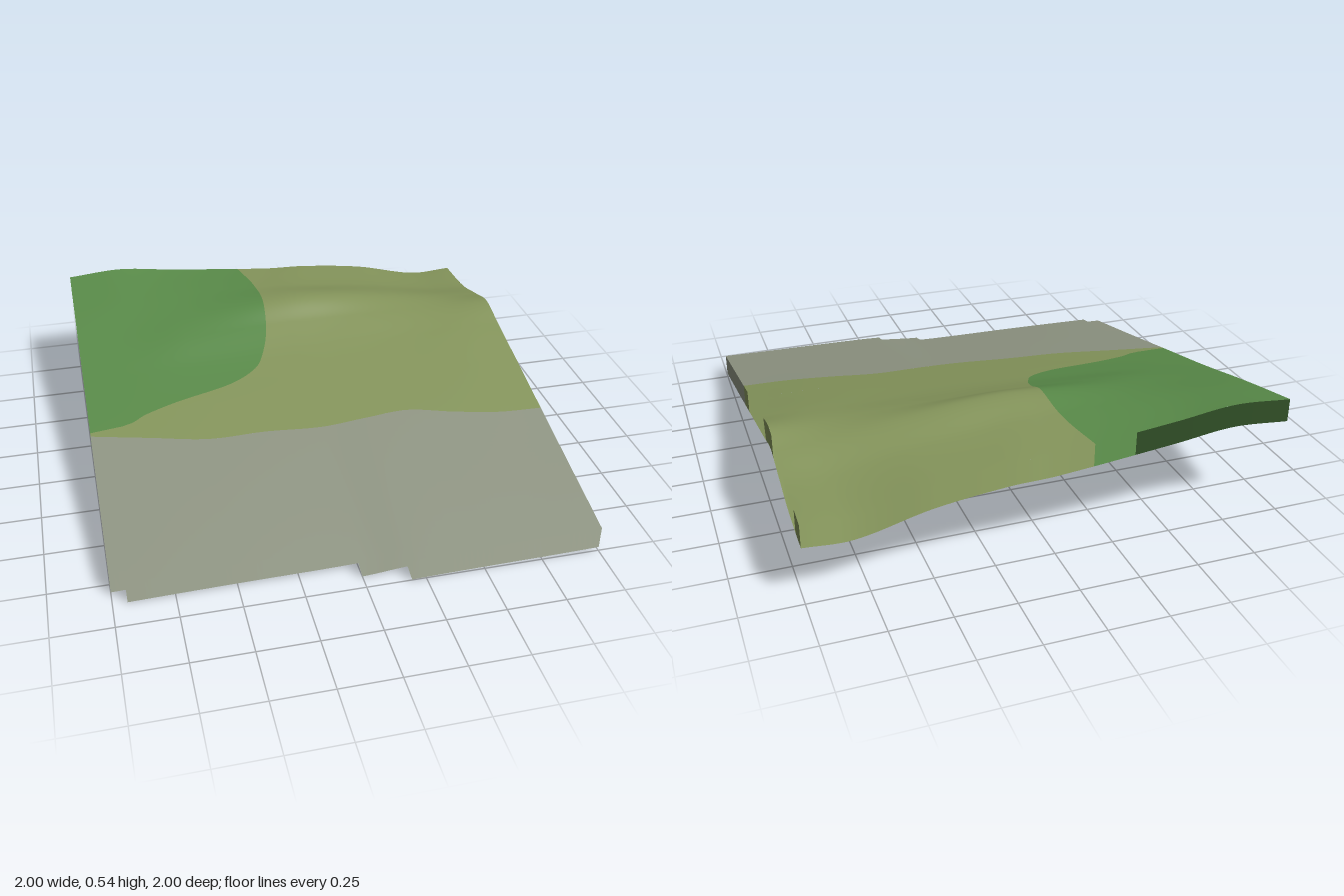
import * as THREE from 'three';

const SKIRT = 0.1;

// Smooth curve through points (xs ascending), returned as a value at x
function spline(xs, ys, x) {
  const n = xs.length;
  let i = 0;
  while (i < n - 2 && x > xs[i + 1]) i++;
  const slope = (k) => {
    const a = Math.max(k - 1, 0), b = Math.min(k + 1, n - 1);
    return (ys[b] - ys[a]) / (xs[b] - xs[a]);
  };
  const d = xs[i + 1] - xs[i], t = (x - xs[i]) / d, t2 = t * t, t3 = t2 * t;
  return ys[i] * (2 * t3 - 3 * t2 + 1) + ys[i + 1] * (3 * t2 - 2 * t3)
    + d * (slope(i) * (t3 - 2 * t2 + t) + slope(i + 1) * (t3 - t2));
}

// Hill heights: one profile from back to front for each x station
const STATION_X = [-1, -0.75, -0.5, 0, 0.2, 0.5, 0.8, 1];
const STATION_Z = [-1, -0.75, -0.56, -0.42, -0.25, 0, 0.5, 1];
const PROFILES = [
  [0.52, 0.465, 0.42, 0.385, 0.345, 0.29, 0.178, 0.07],
  [0.537, 0.485, 0.437, 0.402, 0.357, 0.298, 0.187, 0.075],
  [0.508, 0.49, 0.462, 0.428, 0.37, 0.308, 0.194, 0.079],
  [0.458, 0.483, 0.506, 0.45, 0.392, 0.33, 0.207, 0.085],
  [0.45, 0.465, 0.502, 0.45, 0.396, 0.335, 0.219, 0.102],
  [0.413, 0.432, 0.468, 0.446, 0.4, 0.342, 0.225, 0.109],
  [0.343, 0.378, 0.428, 0.438, 0.411, 0.352, 0.229, 0.113],
  [0.35, 0.368, 0.415, 0.447, 0.408, 0.35, 0.232, 0.117],
];
const height = (x, z) => spline(STATION_X, PROFILES.map((p) => spline(STATION_Z, p, z)), x);

function hillNormal(x, z) {
  const e = 0.004;
  return new THREE.Vector3(
    height(x - e, z) - height(x + e, z), 2 * e, height(x, z - e) - height(x, z + e)).normalize();
}

// Colour borders
const SEAM_Z = 0.06;
const pavingEdge = (x) => spline([-1, -0.75, -0.5, -0.25, 0, 0.2, 0.4, 0.6, 0.8, 1],
  [0.08, 0.14, 0.2, 0.21, 0.235, 0.225, 0.215, 0.265, 0.305, 0.315], x);
const meadowEdge = (z) => Math.max(-1, spline(
  [-1, -0.8, -0.6, -0.4, -0.25, -0.17, -0.1, -0.05, 0, 0.035, 0.05, SEAM_Z],
  [-0.15, -0.11, -0.1, -0.12, -0.17, -0.225, -0.36, -0.59, -0.75, -0.81, -0.87, -1], z));

// Front edge steps: x start, x end, z
const STEPS = [[-1, -0.94, 0.81], [-0.94, 0, 0.87], [0, 0.19, 0.935], [0.19, 1, 1]];

function makeGeometry(pos, nor, idx) {
  const g = new THREE.BufferGeometry();
  g.setAttribute('position', new THREE.Float32BufferAttribute(pos, 3));
  g.setAttribute('normal', new THREE.Float32BufferAttribute(nor, 3));
  g.setIndex(idx);
  return g;
}

// Ground patch; at(u, v) gives [x, z]
function sheet(at, nu, nv) {
  const pos = [], nor = [], idx = [];
  for (let j = 0; j <= nv; j++) {
    for (let i = 0; i <= nu; i++) {
      const [x, z] = at(i / nu, j / nv);
      pos.push(x, height(x, z), z);
      nor.push(...hillNormal(x, z).toArray());
      if (i < nu && j < nv) {
        const a = j * (nu + 1) + i, b = a + 1, c = a + nu + 1, d = c + 1;
        idx.push(a, c, b, b, c, d);
      }
    }
  }
  return makeGeometry(pos, nor, idx);
}

// Hanging border, walked counterclockwise as seen from above; it shades on from the ground
function skirt(x0, z0, x1, z1) {
  const pos = [], nor = [], idx = [];
  const n = Math.max(1, Math.ceil(Math.hypot(x1 - x0, z1 - z0) / 0.025));
  for (let i = 0; i <= n; i++) {
    const x = x0 + (x1 - x0) * i / n, z = z0 + (z1 - z0) * i / n, y = height(x, z);
    const normal = hillNormal(x, z).toArray();
    pos.push(x, y, z, x, y - SKIRT, z);
    nor.push(...normal, ...normal);
    if (i < n) idx.push(2 * i, 2 * i + 1, 2 * i + 3, 2 * i, 2 * i + 3, 2 * i + 2);
  }
  return makeGeometry(pos, nor, idx);
}

export function createModel() {
  const model = new THREE.Group();
  model.name = 'hillside';
  const material = (name, color) => {
    const m = new THREE.MeshStandardMaterial({ color, side: THREE.DoubleSide });
    m.name = name;
    return m;
  };
  const grey = material('stone grey', 0x8d9381);
  const olive = material('olive grass', 0x83935a);
  const green = material('meadow green', 0x588948);

  const add = (name, geometry, mat) => {
    const mesh = new THREE.Mesh(geometry, mat);
    mesh.name = name;
    model.add(mesh);
  };
  const lerp = THREE.MathUtils.lerp;

  // Meadow and grass share one curved border
  const backZ = (v) => lerp(-1, SEAM_Z, v);
  add('meadow', sheet((u, v) => [lerp(-1, meadowEdge(backZ(v)), u), backZ(v)], 36, 90), green);
  add('grass', sheet((u, v) => [lerp(meadowEdge(backZ(v)), 1, u), backZ(v)], 50, 90), olive);
  add('lowerGrass', sheet((u, v) => {
    const x = lerp(-1, 1, u);
    return [x, lerp(SEAM_Z, pavingEdge(x), v)];
  }, 80, 8), olive);

  // Stone slope with a stepped front edge
  STEPS.forEach(([x0, x1, front], i) => {
    add('stoneSlope', sheet((u, v) => {
      const x = lerp(x0, x1, u);
      return [x, lerp(pavingEdge(x), front, v)];
    }, Math.ceil((x1 - x0) * 40), 28), grey);
    add('stoneFrontSkirt', skirt(x0, front, x1, front), grey);
    if (i < 3) add('stoneStepSkirt', skirt(x1, front, x1, STEPS[i + 1][2]), grey);
  });

  // Skirts along the sides and back
  const backSplit = meadowEdge(-1);
  add('stoneLeftSkirt', skirt(1, 1, 1, pavingEdge(1)), grey);
  add('grassLeftSkirt', skirt(1, pavingEdge(1), 1, -1), olive);
  add('grassBackSkirt', skirt(1, -1, backSplit, -1), olive);
  add('meadowBackSkirt', skirt(backSplit, -1, -1, -1), green);
  add('meadowRightSkirt', skirt(-1, -1, -1, SEAM_Z), green);
  add('grassRightSkirt', skirt(-1, SEAM_Z, -1, pavingEdge(-1)), olive);
  add('stoneRightSkirt', skirt(-1, pavingEdge(-1), -1, STEPS[0][2]), grey);

  return model;
}
